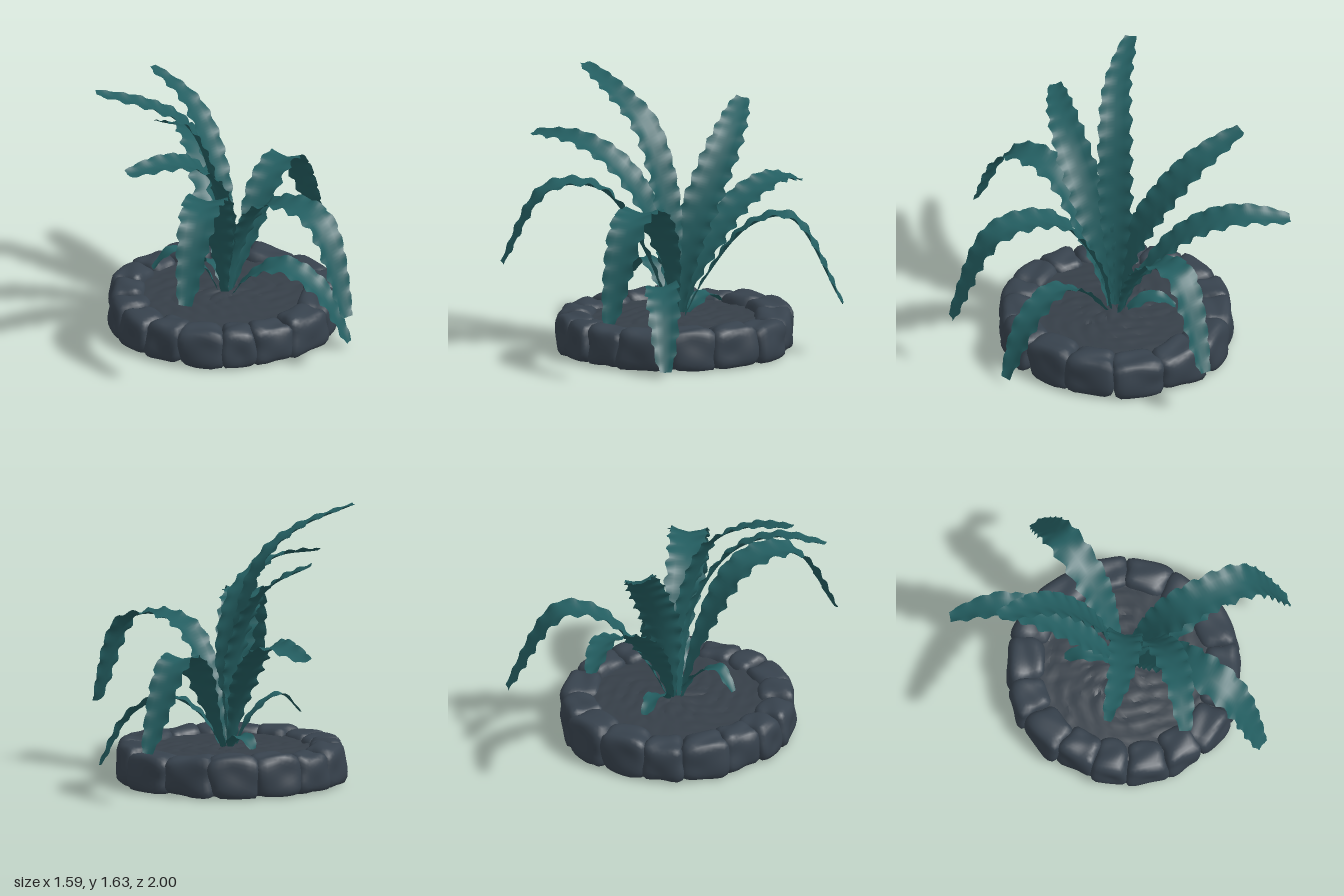
import * as THREE from 'three';
import { mergeVertices, toCreasedNormals } from 'three/addons/utils/BufferGeometryUtils.js';

const leafMat = new THREE.MeshStandardMaterial({ color: 0x235d60, side: THREE.DoubleSide });
leafMat.name = 'teal leaf';
const stoneMat = new THREE.MeshStandardMaterial({ color: 0x37424d });
stoneMat.name = 'slate stone';
const soilMat = new THREE.MeshStandardMaterial({ color: 0x363f48 });
soilMat.name = 'dark soil';

const CX = -0.045, CZ = -0.048; // centre of the planter

function makeRandom(seed) {
  return () => {
    seed = (seed * 16807) % 2147483647;
    return seed / 2147483647;
  };
}

// Bumpy soil bed with a flat underside
function makeSoil() {
  const profile = [[0, 0.005], [0.59, 0.005], [0.61, 0.1]].map(p => new THREE.Vector2(...p));
  for (let i = 0; i <= 20; i++) {
    const k = i / 20;
    profile.push(new THREE.Vector2(0.6 * (1 - k), 0.19 + 0.025 * k));
  }
  const geo = new THREE.LatheGeometry(profile, 64);
  const pos = geo.attributes.position;
  for (let i = 0; i < pos.count; i++) {
    const x = pos.getX(i), y = pos.getY(i), z = pos.getZ(i);
    if (y < 0.15) continue;
    const bump = Math.sin(x * 27 + 2 * Math.sin(z * 14)) * Math.sin(z * 25 + 2 * Math.sin(x * 16));
    pos.setY(i, y + 0.014 * Math.sqrt(Math.abs(bump)));
  }
  geo.deleteAttribute('uv');
  geo.deleteAttribute('normal');
  const mesh = new THREE.Mesh(toCreasedNormals(mergeVertices(geo, 1e-4), 0.6), soilMat);
  mesh.name = 'soil';
  mesh.position.set(CX, 0, CZ);
  return mesh;
}

// Rounded, chipped block; local z points outward from the ring
function makeStone(width, height, depth, phase) {
  let geo = new THREE.IcosahedronGeometry(1, 6);
  geo.deleteAttribute('uv');
  geo.deleteAttribute('normal');
  geo = mergeVertices(geo, 1e-4);
  const pos = geo.attributes.position;
  const v = new THREE.Vector3();
  for (let i = 0; i < pos.count; i++) {
    v.fromBufferAttribute(pos, i);
    v.divideScalar(Math.pow(Math.abs(v.x) ** 5 + Math.abs(v.y) ** 5 + Math.abs(v.z) ** 5, 0.2));
    const chip = 1 + 0.06 * Math.sin(v.x * 3 + phase) * Math.sin(v.y * 3.4 + phase * 2)
      + 0.05 * Math.sin(v.z * 4 + v.x * 2 + phase * 3);
    const wedge = 1 + 0.14 * v.z;                       // wider on the outside
    const slope = 1 + 0.08 * v.x * Math.sin(phase * 5); // uneven top
    const lean = 0.08 * v.y * Math.sin(phase * 7);      // slanted joints
    pos.setXYZ(i,
      (v.x * wedge * chip + lean) * width / 2,
      Math.max(0.01, height / 2 + v.y * height / 2 * chip * slope),
      v.z * depth / 2 * chip * (1 - 0.06 * v.y));
  }
  geo.computeVertexNormals();
  return new THREE.Mesh(geo, stoneMat);
}

function makeStoneRing() {
  const ring = new THREE.Group();
  ring.name = 'stoneRing';
  const rand = makeRandom(41);
  const sizes = Array.from({ length: 16 }, () => 0.8 + 0.4 * rand());
  const total = sizes.reduce((a, b) => a + b, 0);
  let angle = 0.1;
  sizes.forEach((size, i) => {
    const span = size / total * Math.PI * 2;
    const a = angle + span / 2;
    angle += span;
    const r = 0.57 + 0.02 * rand();
    const stone = makeStone(span * 0.65, 0.235 + 0.025 * rand(), 0.21 + 0.03 * rand(), rand() * 6);
    stone.name = 'stone' + (i + 1);
    stone.position.set(CX + Math.sin(a) * r, 0, CZ + Math.cos(a) * r * 1.03);
    stone.rotation.y = a;
    ring.add(stone);
  });
  return ring;
}

// Axis about which a curve bends overall
function bendAxis(curve) {
  const axis = new THREE.Vector3(), step = new THREE.Vector3();
  for (let i = 0; i < 20; i++) {
    step.crossVectors(curve.getTangentAt(i / 20), curve.getTangentAt((i + 1) / 20));
    axis.add(step);
  }
  return axis.normalize();
}

// Ribbon leaf: folded cross-sections with toothed, rippled edges along a curve
function makeLeaf(points, width, phase) {
  const tipPoint = points[points.length - 1];
  const chord = new THREE.Vector3(tipPoint.x - CX, 0, tipPoint.z - CZ).normalize();
  // every leaf rises from the same crown in the soil
  const root = new THREE.Vector3(-0.03, 0.17, -0.06).addScaledVector(chord, 0.03);
  const curve = new THREE.CatmullRomCurve3([root, ...points]);
  const axis = bendAxis(curve);
  const teeth = curve.getLength() * 8.5;
  const rows = 96, across = [-1, -0.55, 0, 0.55, 1], n = across.length;
  const verts = [], index = [];
  for (let i = 0; i <= rows; i++) {
    const t = i / rows;
    const p = curve.getPointAt(t), tan = curve.getTangentAt(t);
    const side = axis.clone().addScaledVector(tan, -axis.dot(tan)).normalize();
    const normal = new THREE.Vector3().crossVectors(tan, side);
    const grow = 0.2 + 0.8 * THREE.MathUtils.smoothstep(t, 0, 0.45);
    const taper = Math.sqrt(1 - 0.8 * Math.pow(t, 9)) * (1 - 0.25 * THREE.MathUtils.smoothstep(t, 0.6, 1));
    const half = width / 2 * grow * taper;
    for (const s of across) {
      const f = t * teeth + phase + (s > 0 ? 0.4 : 0);
      const saw = f - Math.floor(f);
      const rim = Math.abs(s) === 1 ? 1 : 0;
      const edge = 1 + rim * (0.36 * Math.min(saw, (1 - saw) * 3) - 0.12);
      const lift = half * (0.22 * Math.abs(s) + 0.1 * rim * Math.sin(f * Math.PI * 2));
      const q = p.clone().addScaledVector(side, s * half * edge).addScaledVector(normal, lift);
      verts.push(q.x, q.y, q.z);
    }
  }
  for (let i = 0; i < rows; i++) {
    for (let j = 0; j < n - 1; j++) {
      const a = i * n + j, b = a + 1, c = a + n, d = c + 1;
      index.push(a, c, b, b, c, d);
    }
  }
  const geo = new THREE.BufferGeometry();
  geo.setAttribute('position', new THREE.Float32BufferAttribute(verts, 3));
  geo.setIndex(index);
  geo.computeVertexNormals();
  return new THREE.Mesh(geo, leafMat);
}

// Leaf widths and the few midrib points above the crown, ending at the tip
function makeLeaves() {
  const leaves = new THREE.Group();
  leaves.name = 'leaves';
  const add = (name, width, ...path) => {
    const points = path.map(p => new THREE.Vector3(...p));
    const leaf = makeLeaf(points, width, leaves.children.length * 0.37);
    leaf.name = name;
    leaves.add(leaf);
  };
  add('tallLeftLeaf', 0.2, [-0.08, 0.75, -0.03], [-0.24, 1.32, 0.07], [-0.45, 1.5, 0.18], [-0.78, 1.63, 0.29]);
  add('frontLeftLeaf', 0.21, [-0.03, 0.76, 0.07], [-0.12, 1.13, 0.28], [-0.3, 1.27, 0.48], [-0.55, 1.28, 0.68]);
  add('tallBackLeaf', 0.22, [-0.08, 0.7, -0.17], [-0.15, 1, -0.31], [-0.29, 1.25, -0.47], [-0.54, 1.41, -0.63]);
  add('backLeftLeaf', 0.21, [-0.09, 0.44, -0.19], [-0.21, 0.8, -0.47], [-0.33, 0.94, -0.75], [-0.53, 0.89, -0.98]);
  add('backRightLeaf', 0.2, [0.07, 0.45, -0.21], [0.18, 0.78, -0.46], [0.27, 0.83, -0.68], [0.43, 0.32, -0.96]);
  add('frontLeaf', 0.23, [-0.05, 0.6, 0.13], [-0.09, 1, 0.4], [-0.12, 1.01, 0.72], [-0.17, 0.57, 0.99]);
  add('frontRightLeaf', 0.23, [0.06, 0.54, 0.01], [0.25, 0.9, 0.2], [0.56, 0.91, 0.42], [0.77, 0.37, 0.61]);
  add('lowRightLeaf', 0.19, [0.12, 0.36, 0.06], [0.32, 0.47, 0.14], [0.55, 0.36, 0.2], [0.74, 0.04, 0.25]);
  add('smallLeftLeaf', 0.11, [-0.17, 0.39, -0.01], [-0.34, 0.51, 0.05], [-0.46, 0.4, 0.08]);
  add('smallBackLeaf', 0.11, [-0.07, 0.27, -0.18], [-0.13, 0.31, -0.28], [-0.19, 0.25, -0.38]);
  return leaves;
}

export function createModel() {
  const model = new THREE.Group();
  model.name = 'plantInStoneRing';
  model.add(makeSoil(), makeStoneRing(), makeLeaves());
  return model;
}
